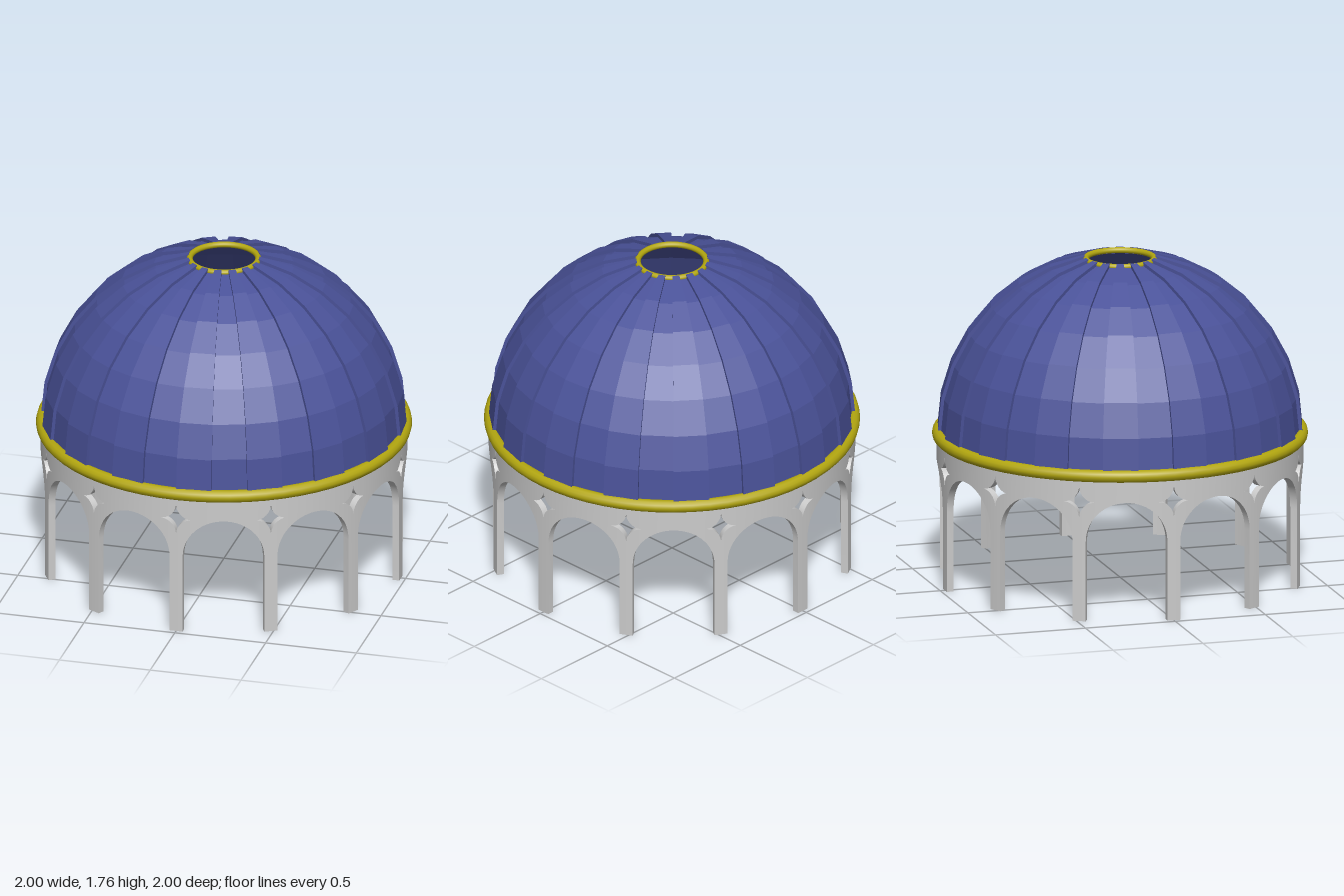
import * as THREE from 'three';
import { toCreasedNormals } from 'three/addons/utils/BufferGeometryUtils.js';

const BAYS = 12, R_OUT = 0.975, R_IN = 0.937;
const WALL_TOP = 0.79, STAR_Y = 0.652, STAR = 0.085, PILLAR = 0.036;
const BAY = (2 * Math.PI * R_OUT) / BAYS;
const ARCH_R = BAY / 2 - PILLAR, SPRING = 0.653 - ARCH_R;

// Collects quads (corners counter-clockwise from outside) into one geometry
function quadBuilder() {
  const pos = [];
  return {
    quad(a, b, c, d) { pos.push(...a, ...b, ...c, ...a, ...c, ...d); },
    geometry() {
      const g = new THREE.BufferGeometry();
      g.setAttribute('position', new THREE.Float32BufferAttribute(pos, 3));
      g.computeVertexNormals();
      return g;
    },
  };
}

const around = (angle, r, y) => [Math.sin(angle) * r, y, Math.cos(angle) * r];

// Curved wall strip; columns are [arc position, bottom, top]
function addBand(builder, offset, columns) {
  for (let i = 0; i + 1 < columns.length; i++) {
    const [t0, b0, u0] = columns[i], [t1, b1, u1] = columns[i + 1];
    const a0 = (offset + t0) / R_OUT, a1 = (offset + t1) / R_OUT;
    const o = (a, y) => around(a, R_OUT, y), n = (a, y) => around(a, R_IN, y);
    if (t1 > t0) {
      builder.quad(o(a0, b0), o(a1, b1), o(a1, u1), o(a0, u0));
      builder.quad(n(a1, b1), n(a0, b0), n(a0, u0), n(a1, u1));
      builder.quad(o(a0, u0), o(a1, u1), n(a1, u1), n(a0, u0));
    }
    builder.quad(n(a0, b0), n(a1, b1), o(a1, b1), o(a0, b0));
  }
}

// Half height of the concave four-pointed star, and underside of the arch
const starHalf = (t) => {
  const p = 0.58;
  return STAR * Math.pow(Math.max(0, 1 - Math.pow(Math.abs(t) / STAR, p)), 1 / p);
};
const archY = (t) =>
  SPRING + Math.sqrt(Math.max(0, ARCH_R ** 2 - (BAY / 2 - Math.abs(t)) ** 2));

function arcadeGeometry() {
  const builder = quadBuilder();
  // Columns through one pillar, doubled at the jamb
  const half = [0, 0.003, 0.008, 0.015, 0.025, PILLAR].map((t) => [t, 0]);
  for (const t of [PILLAR, 0.0375, 0.041, 0.047, 0.055, 0.065, 0.075, STAR]) half.push([t, archY(t)]);
  const full = [...half.slice(1).reverse().map(([t, b]) => [-t, b]), ...half];
  const below = full.map(([t, b]) => [t, b, STAR_Y - starHalf(t)]);
  const above = full.map(([t]) => [t, STAR_Y + starHalf(t), WALL_TOP])
    .filter((c, i, all) => i === 0 || c[0] > all[i - 1][0]);
  // Wall over the arch crown, between two stars
  const crown = [];
  for (let i = 0; i <= 16; i++) {
    const t = STAR + ((BAY - 2 * STAR) * i) / 16;
    crown.push([t, archY(Math.min(t, BAY - t)), WALL_TOP]);
  }
  for (let k = 0; k < BAYS; k++) {
    for (const band of [below, above, crown]) addBand(builder, k * BAY, band);
  }
  return toCreasedNormals(builder.geometry(), 0.5);
}

// Faceted dome: every second gore stands proud of its neighbours
function domeGeometry() {
  const GORES = 32, ROWS = 7, STEP = Math.PI / 16, CENTRE = 0.808;
  const builder = quadBuilder();
  const inner = 0.94;
  for (let g = 0; g < GORES; g++) {
    const outer = g % 2 === 0 ? 0.975 : 0.957;
    const a0 = g * STEP, a1 = a0 + STEP;
    const at = (a, r, row) =>
      around(a, r * Math.cos(row * STEP), CENTRE + r * Math.sin(row * STEP));
    for (let j = 0; j < ROWS; j++) {
      builder.quad(at(a0, outer, j), at(a1, outer, j), at(a1, outer, j + 1), at(a0, outer, j + 1));
      builder.quad(at(a1, inner, j), at(a0, inner, j), at(a0, inner, j + 1), at(a1, inner, j + 1));
      // Side steps of the raised gores
      if (g % 2 === 0) {
        builder.quad(at(a0, inner, j), at(a0, outer, j), at(a0, outer, j + 1), at(a0, inner, j + 1));
        builder.quad(at(a1, outer, j), at(a1, inner, j), at(a1, inner, j + 1), at(a1, outer, j + 1));
      }
    }
    // Foot and rim
    builder.quad(at(a0, inner, 0), at(a1, inner, 0), at(a1, outer, 0), at(a0, outer, 0));
    builder.quad(at(a0, outer, ROWS), at(a1, outer, ROWS), at(a1, inner, ROWS), at(a0, inner, ROWS));
  }
  return builder.geometry();
}

export function createModel() {
  const model = new THREE.Group();
  model.name = 'domedPavilion';
  const stone = new THREE.MeshStandardMaterial({ color: 0xcccccc });
  const blue = new THREE.MeshStandardMaterial({ color: 0x4a5299, flatShading: true });
  const gold = new THREE.MeshStandardMaterial({ color: 0xb3a710 });

  const add = (name, geometry, material) => {
    const mesh = new THREE.Mesh(geometry, material);
    mesh.name = name;
    model.add(mesh);
    return mesh;
  };

  add('arcade', arcadeGeometry(), stone);
  add('dome', domeGeometry(), blue);

  // Gold rings at the foot of the dome and around the opening
  const ring = (name, radius, tube, y) => {
    const mesh = add(name, new THREE.TorusGeometry(radius, tube, 12, 64), gold);
    mesh.rotation.x = Math.PI / 2;
    mesh.position.y = y;
  };
  ring('baseRing', 0.966, 0.034, 0.796);
  ring('oculusRing', 0.182, 0.016, 1.747);
  return model;
}
